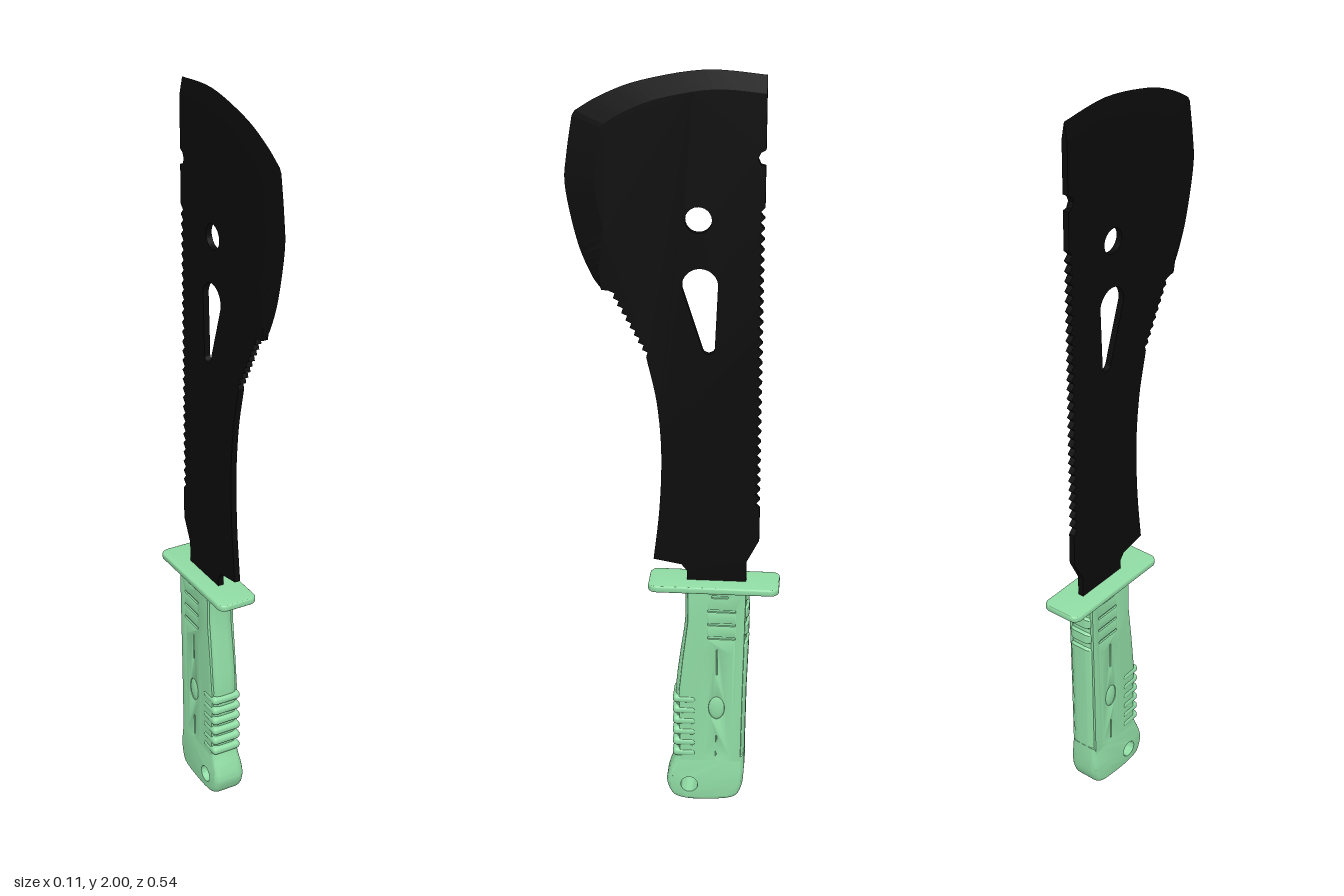
import * as THREE from 'three';
import { toCreasedNormals } from 'three/addons/utils/BufferGeometryUtils.js';
import { RoundedBoxGeometry } from 'three/addons/geometries/RoundedBoxGeometry.js';

const steel = new THREE.MeshStandardMaterial({ color: 0x0b0b0b, side: THREE.DoubleSide });
const green = new THREE.MeshStandardMaterial({ color: 0x90dca4 });

const v2 = (p) => new THREE.Vector2(p[0], p[1]);
const smooth = (pts, n) => new THREE.SplineCurve(pts.map(v2)).getPoints(n);

function mesh(name, geometry, material) {
  const m = new THREE.Mesh(geometry, material);
  m.name = name;
  return m;
}

// Extrude a (z, y) profile symmetrically along x
function slab(shape, depth, bevel = null) {
  const g = new THREE.ExtrudeGeometry(shape, {
    depth, curveSegments: 20, bevelEnabled: !!bevel, ...bevel,
  });
  g.translate(0, 0, -depth / 2);
  g.rotateY(-Math.PI / 2);
  return g;
}

function ellipse(z, y, rz, ry) {
  const p = new THREE.Path();
  p.absellipse(z, y, rz, ry, 0, Math.PI * 2);
  return p;
}

// Slot with round ends, from a to b; the end radii may differ
function slot(a, b, ra, rb = ra) {
  const dir = Math.atan2(b[1] - a[1], b[0] - a[0]);
  const p = new THREE.Path();
  p.absarc(a[0], a[1], ra, dir + Math.PI / 2, dir + Math.PI * 1.5, false);
  p.absarc(b[0], b[1], rb, dir - Math.PI / 2, dir + Math.PI / 2, false);
  p.closePath();
  return p;
}

// Zigzag from a to b; the valleys are cut by (dz, dy)
function teeth(a, b, count, dz, dy = 0) {
  const out = [];
  for (let i = 0; i < count; i++) {
    for (const s of [0, 0.5]) {
      const t = (i + s) / count;
      const cut = s ? 1 : 0;
      out.push([a[0] + (b[0] - a[0]) * t + dz * cut, a[1] + (b[1] - a[1]) * t + dy * cut]);
    }
  }
  out.push(b);
  return out.map(v2);
}

function createBlade() {
  const half = 0.008;
  const blade = new THREE.Group();
  blade.name = 'blade';

  // Cutting edge of the head and the line where its bevel begins
  const edge = [
    ...smooth([[-0.217, 1.99], [-0.07, 2.0], [0.085, 1.972], [0.18, 1.935], [0.243, 1.897]], 20),
    ...smooth([[0.25, 1.885], [0.265, 1.79], [0.27, 1.71], [0.243, 1.575], [0.21, 1.49], [0.185, 1.452]], 24),
  ];
  const bevelStart = edge.map((p) => {
    const k = 0.15 * Math.min(1, Math.max(0, (p.y - 1.452) / 0.12));
    return new THREE.Vector2(p.x + (-0.217 - p.x) * k, p.y + (1.7 - p.y) * k);
  });

  const outline = [
    ...bevelStart,
    ...teeth([0.166, 1.45], [0.074, 1.278], 9, -0.009, 0.003),
    ...smooth([[0.07, 1.26], [0.048, 1.156], [0.037, 1.02], [0.042, 0.865], [0.058, 0.717]], 20),
    ...[[-0.015, 0.704], [-0.03, 0.685], [-0.03, 0.65], [-0.185, 0.65], [-0.185, 0.717], [-0.217, 0.78]].map(v2),
    ...teeth([-0.217, 0.87], [-0.217, 1.67], 30, 0.012),
    ...[[-0.217, 1.772], [-0.205, 1.775], [-0.198, 1.79], [-0.205, 1.805], [-0.217, 1.812]].map(v2),
  ];
  const shape = new THREE.Shape(outline);
  shape.holes.push(ellipse(-0.055, 1.635, 0.033, 0.033), slot([-0.06, 1.467], [-0.082, 1.306], 0.045, 0.016));
  blade.add(mesh('bladeBody', slab(shape, half * 2), steel));

  // Ground bevel on both faces
  const pos = [];
  const inner = (i, s) => [s * half, bevelStart[i].y, bevelStart[i].x];
  const outer = (i) => [0, edge[i].y, edge[i].x];
  for (const s of [1, -1]) {
    for (let i = 0; i < edge.length - 1; i++) {
      const quad = [inner(i, s), outer(i), outer(i + 1), inner(i, s), outer(i + 1), inner(i + 1, s)];
      pos.push(...(s > 0 ? quad : quad.reverse()).flat());
    }
  }
  pos.push(...inner(0, 1), ...inner(0, -1), ...outer(0));
  const bevel = new THREE.BufferGeometry();
  bevel.setAttribute('position', new THREE.Float32BufferAttribute(pos, 3));
  bevel.computeVertexNormals();
  blade.add(mesh('cuttingEdge', bevel, steel));
  return blade;
}

function createGuard() {
  const s = new THREE.Shape();
  const [z0, z1, x, r] = [-0.272, 0.07, 0.056, 0.022];
  s.absarc(x - r, z1 - r, r, 0, Math.PI / 2);
  s.absarc(-x + r, z1 - r, r, Math.PI / 2, Math.PI);
  s.absarc(-x + r, z0 + r, r, Math.PI, Math.PI * 1.5);
  s.absarc(x - r, z0 + r, r, Math.PI * 1.5, Math.PI * 2);
  const g = new THREE.ExtrudeGeometry(s, {
    depth: 0.01, bevelThickness: 0.004, bevelSize: 0.004, bevelOffset: -0.004, bevelSegments: 3,
  });
  g.rotateX(Math.PI / 2);
  g.scale(1, 1, 1).translate(0, 0.656, 0);
  return mesh('guard', toCreasedNormals(g, 0.6), green);
}

function createHandle() {
  const handle = new THREE.Group();
  handle.name = 'handle';
  const round = { bevelThickness: 0.02, bevelSize: 0.014, bevelOffset: -0.014, bevelSegments: 5 };

  // Grip core, with three notches down the back
  const notches = [0.505, 0.555, 0.605].flatMap((y) =>
    [[-0.195, y - 0.011], [-0.188, y - 0.006], [-0.188, y + 0.006], [-0.195, y + 0.011]]);
  const grip = new THREE.Shape([
    ...smooth([[-0.026, 0.65], [-0.026, 0.55], [-0.012, 0.44], [-0.002, 0.34], [-0.005, 0.22], [-0.005, 0.11]], 24),
    ...[[-0.187, 0.11], [-0.19, 0.34], ...notches, [-0.196, 0.65]].map(v2),
  ]);
  handle.add(mesh('grip', toCreasedNormals(slab(grip, 0.03, round), 0.6), green));

  // Side panels pierced by the grooves
  const panel = new THREE.Shape([[-0.037, 0.645], [-0.037, 0.55], [-0.024, 0.44], [-0.014, 0.34],
    [-0.017, 0.115], [-0.175, 0.115], [-0.178, 0.34], [-0.184, 0.645]].map(v2));
  for (const y of [0.505, 0.545, 0.585]) panel.holes.push(slot([-0.09, y], [-0.157, y], 0.006));
  panel.holes.push(slot([-0.1, 0.626], [-0.137, 0.626], 0.006));
  for (const z of [-0.077, -0.15]) panel.holes.push(slot([z, 0.145], [z, 0.455], 0.002));
  for (const [a, b] of [[0.135, 0.205], [0.395, 0.47]]) panel.holes.push(slot([-0.112, a], [-0.112, b], 0.004));
  panel.holes.push(ellipse(-0.112, 0.293, 0.024, 0.036));
  for (const side of [1, -1]) {
    const g = slab(panel, 0.004, { bevelThickness: 0.003, bevelSize: 0.003, bevelOffset: 0, bevelSegments: 2 });
    g.translate(side * 0.035, 0, 0);
    handle.add(mesh('sidePanel', toCreasedNormals(g, 0.6), green));
    const boss = mesh('sideBoss', new THREE.SphereGeometry(1, 24, 16), green);
    boss.scale.set(0.008, 0.036, 0.022);
    boss.position.set(side * 0.035, 0.293, -0.112);
    handle.add(boss);
  }

  // Finger ridges around the front
  for (let i = 0; i < 6; i++) {
    const ridge = mesh('fingerRidge', new RoundedBoxGeometry(0.085, 0.024, 0.064, 4, 0.011), green);
    ridge.position.set(0, 0.15 + i * 0.033, -0.026);
    handle.add(ridge);
  }

  // Pommel with lanyard hole, easing into the grip at its top
  const hole = [-0.04, 0.053];
  const pommel = new THREE.Shape(smooth([[-0.005, 0.15], [0.003, 0.125], [0.016, 0.09], [0.022, 0.055],
    [0.008, 0.018], [-0.02, 0.003], [-0.075, 0], [-0.155, 0.01], [-0.18, 0.04], [-0.187, 0.09], [-0.188, 0.15]], 50));
  pommel.holes.push(ellipse(...hole, 0.009, 0.009));
  const g = slab(pommel, 0.05, round);
  const p = g.attributes.position;
  for (let i = 0; i < p.count; i++) {
    const dz = p.getZ(i) - hole[0];
    const dy = p.getY(i) - hole[1];
    const d = Math.hypot(dz, dy);
    if (d < 0.0245) p.setXYZ(i, p.getX(i), hole[1] + dy * 0.023 / d, hole[0] + dz * 0.023 / d);
    const t = THREE.MathUtils.smoothstep(p.getY(i), 0.07, 0.15);
    p.setX(i, p.getX(i) * (1 - 0.14 * t));
  }
  handle.add(mesh('pommel', toCreasedNormals(g, 0.7), green));
  return handle;
}

export function createModel() {
  const model = new THREE.Group();
  model.name = 'machete';
  model.add(createBlade(), createGuard(), createHandle());
  return model;
}
